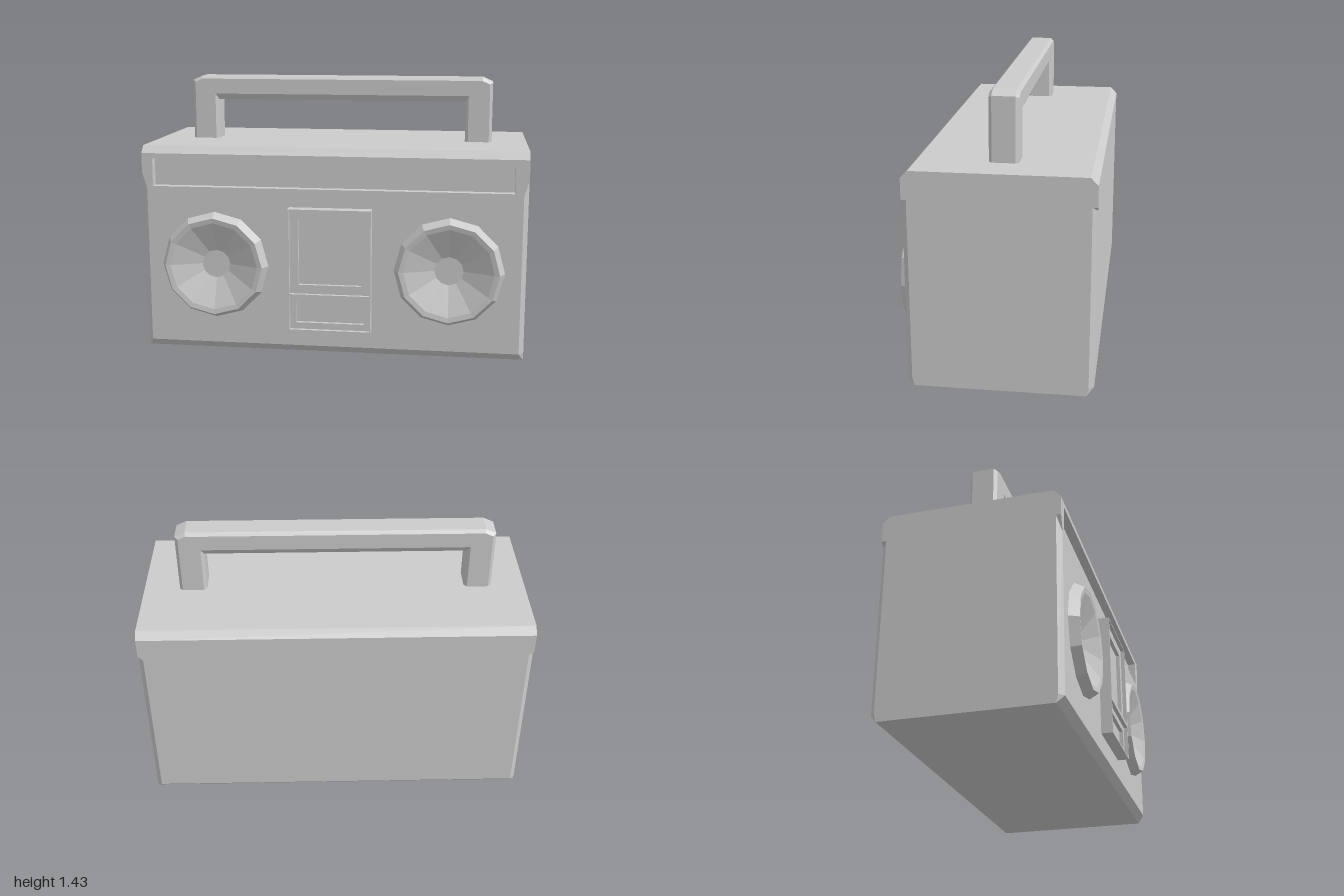
import * as THREE from 'three';

const mat = new THREE.MeshStandardMaterial({ color: 0xcccccc, flatShading: true });
const FRONT = 0.425, BACK = -0.483, OFF = -0.004;

function add(parent, name, geometry) {
  const mesh = new THREE.Mesh(geometry, mat);
  mesh.name = name;
  parent.add(mesh);
  return mesh;
}

const polygon = (pts) => new THREE.Shape(pts.map(([x, y]) => new THREE.Vector2(x, y)));
const rect = (x0, x1, y0, y1) => polygon([[x0, y0], [x1, y0], [x1, y1], [x0, y1]]);

// Flat-faced geometry from four-cornered faces, dropping collapsed triangles
function fromQuads(quads) {
  const pos = [];
  for (const [a, b, c, d] of quads) {
    for (const t of [[a, b, c], [a, c, d]]) {
      const [p, q, r] = t.map((v) => new THREE.Vector3(...v));
      if (q.sub(p).cross(r.sub(p)).length() > 1e-7) pos.push(...t.flat());
    }
  }
  const g = new THREE.BufferGeometry();
  g.setAttribute('position', new THREE.Float32BufferAttribute(pos, 3));
  g.computeVertexNormals();
  return g;
}

// Horizontal section with corners cut by c; yF and yB are the heights of the front and back corners
function section(y, front, back, c = 0, yF = y, yB = y) {
  const b = 1 - c;
  return [
    [-b, yF, front], [b, yF, front], [1, y, front - c], [1, y, back + c],
    [b, yB, back], [-b, yB, back], [-1, y, back + c], [-1, y, front - c],
  ];
}

// Case skin, without the front panel
function caseGeometry() {
  const rings = [
    section(0, 0.39, -0.448),
    section(0.04, FRONT, BACK, 0.025),
    section(0.95, FRONT, BACK, 0.025, 0.87, 0.93),
    section(0.95, FRONT, BACK),
    section(1.053, FRONT, BACK),
    section(1.09, 0.39, -0.448),
  ];
  const quads = [];
  for (let r = 0; r < rings.length - 1; r++) {
    for (let i = 0; i < 8; i++) {
      if (i === 0 && r > 0 && r < 4) continue;
      const j = (i + 1) % 8;
      quads.push([rings[r][i], rings[r][j], rings[r + 1][j], rings[r + 1][i]]);
    }
  }
  const lo = rings[0], hi = rings[5];
  quads.push([hi[0], hi[1], hi[4], hi[5]], [lo[5], lo[4], lo[1], lo[0]]);
  return fromQuads(quads);
}

// Open pocket: floor and four walls facing inward
function pocketGeometry(x0, x1, y0, y1, zTop, zFloor) {
  const corners = [[x0, y0], [x1, y0], [x1, y1], [x0, y1]];
  const quads = [corners.map((p) => [...p, zFloor])];
  corners.forEach((p, i) => {
    const q = corners[(i + 1) % 4];
    quads.push([[...p, zTop], [...q, zTop], [...q, zFloor], [...p, zFloor]]);
  });
  return fromQuads(quads);
}

export function createModel() {
  const model = new THREE.Group();
  const speakerX = [-0.613 + OFF, 0.613 + OFF], speakerY = 0.466;
  const strip = [-0.943, 0.93, 0.88, 1.025];

  add(model, 'case', caseGeometry());

  // Front panel, opened for the display strip and the speakers
  const face = polygon([
    [-0.975, 0.04], [0.975, 0.04], [0.975, 0.87], [1, 0.95],
    [1, 1.053], [-1, 1.053], [-1, 0.95], [-0.975, 0.87],
  ]);
  face.holes.push(rect(...strip));
  for (const x of speakerX) {
    const hole = new THREE.Path();
    hole.absarc(x, speakerY, 0.25, 0, Math.PI * 2);
    face.holes.push(hole);
  }
  add(model, 'frontPanel', new THREE.ShapeGeometry(face, 12)).position.z = FRONT;

  // Sunken display strip
  add(model, 'displayRecess', pocketGeometry(...strip, FRONT, FRONT - 0.045));

  // Twelve-sided speakers: raised rim, dished cone and flat centre
  const profile = [[0.284, 0], [0.258, 0.05], [0.232, 0.046], [0.075, -0.02], [0, -0.02]];
  const speaker = new THREE.LatheGeometry(profile.map(([r, h]) => new THREE.Vector2(r, h)), 12);
  speaker.rotateX(Math.PI / 2);
  speakerX.forEach((x, i) => {
    add(model, i ? 'leftSpeaker' : 'rightSpeaker', speaker).position.set(x, speakerY, FRONT);
  });

  // Cassette deck: backing, window layer and outer frame
  const deck = new THREE.Group();
  deck.name = 'cassetteDeck';
  deck.position.set(OFF, 0, FRONT);
  model.add(deck);
  const layers = [
    ['deckBacking', []],
    ['deckWindows', [[-0.163, 0.163, 0.383, 0.733], [-0.178, 0.178, 0.179, 0.286]]],
    ['deckFrame', [[-0.208, 0.208, 0.336, 0.779], [-0.208, 0.208, 0.145, 0.318]]],
  ];
  layers.forEach(([name, holes], i) => {
    const shape = rect(-0.215, 0.215, 0.138, 0.785);
    for (const h of holes) shape.holes.push(rect(...h));
    add(deck, name, new THREE.ExtrudeGeometry(shape, { depth: 0.02, bevelEnabled: false }))
      .position.z = i * 0.02;
  });

  // Carrying handle with chamfered edges
  const bevel = 0.016;
  const arch = polygon([
    [-0.818, 1.06], [-0.818, 1.408], [-0.765, 1.432], [0.765, 1.432], [0.818, 1.408], [0.818, 1.06],
    [0.675, 1.06], [0.675, 1.305], [-0.675, 1.305], [-0.675, 1.06],
  ]);
  const handle = new THREE.ExtrudeGeometry(arch, {
    depth: 0.145 - 2 * bevel, bevelSize: bevel, bevelThickness: bevel, bevelOffset: -bevel, bevelSegments: 1,
  });
  // Deepen the chamfer under the grip
  const p = handle.attributes.position;
  for (let i = 0; i < p.count; i++) {
    if (Math.abs(p.getY(i) - 1.305 - bevel) < 0.004) p.setY(i, 1.335);
  }
  handle.computeVertexNormals();
  add(model, 'handle', handle).position.set(OFF, 0, -0.1 + bevel);

  return model;
}
